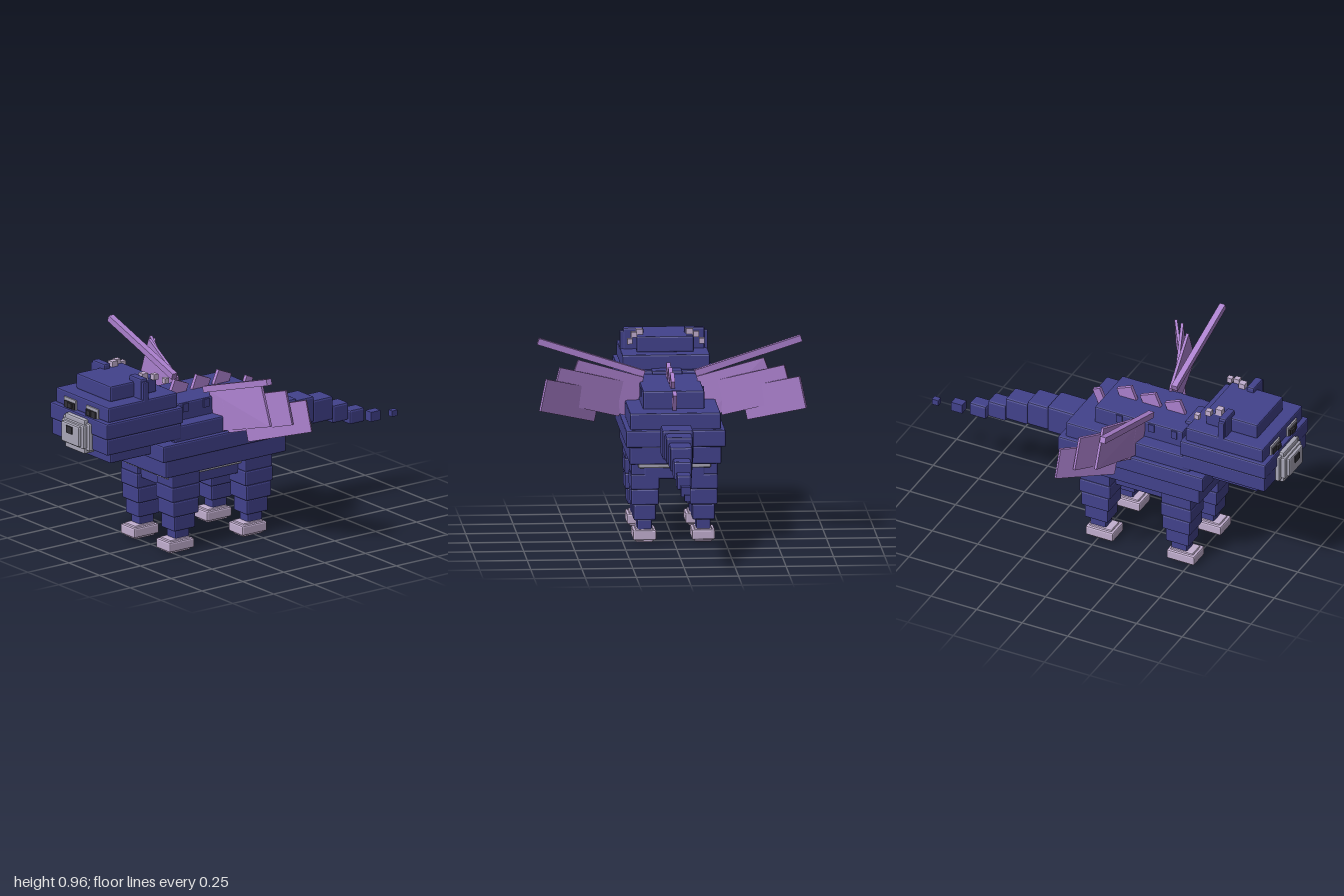
import * as THREE from 'three';
import { RoundedBoxGeometry } from 'three/addons/geometries/RoundedBoxGeometry.js';
import { ConvexGeometry } from 'three/addons/geometries/ConvexGeometry.js';

const makeMat = (name, color) => {
  const m = new THREE.MeshStandardMaterial({ color, flatShading: true });
  m.name = name;
  return m;
};

export function createModel() {
  const model = new THREE.Group();
  model.name = 'blockDragon';
  const blue = makeMat('indigo hide', 0x42428c);
  const purple = makeMat('purple membrane', 0xab80ce);
  const pale = makeMat('pale claw', 0xc2afd0);
  const grey = makeMat('grey muzzle', 0xa9a7b8);
  const dark = makeMat('dark eye', 0x323138);

  const group = (name) => {
    const g = new THREE.Group();
    g.name = name;
    model.add(g);
    return g;
  };

  // Box from its limits, with an optional small chamfer
  const block = (parent, name, mat, [x0, x1], [y0, y1], [z0, z1], chamfer = 0.008) => {
    const size = [x1 - x0, y1 - y0, z1 - z0];
    const geo = chamfer ? new RoundedBoxGeometry(...size, 1, chamfer) : new THREE.BoxGeometry(...size);
    const mesh = new THREE.Mesh(geo, mat);
    mesh.position.set((x0 + x1) / 2, (y0 + y1) / 2, (z0 + z1) / 2);
    mesh.name = name;
    parent.add(mesh);
    return mesh;
  };
  const centred = (parent, name, mat, half, y, z, c) => block(parent, name, mat, [-half, half], y, z, c);
  const side = (s, a, b) => (s > 0 ? [a, b] : [-b, -a]);

  // Thin plate spanning four corners
  const plate = (parent, name, mat, corners, thickness) => {
    const p = corners.map((c) => new THREE.Vector3(...c));
    const n = p[1].clone().sub(p[0]).cross(p[3].clone().sub(p[0])).setLength(thickness / 2);
    const pts = p.flatMap((v) => [v.clone().add(n), v.clone().sub(n)]);
    const mesh = new THREE.Mesh(new ConvexGeometry(pts), mat);
    mesh.name = name;
    parent.add(mesh);
  };

  // Body in stacked layers
  const body = group('body');
  centred(body, 'bellyBase', blue, 0.15, [0.32, 0.39], [-0.09, 0.5]);
  centred(body, 'bellyPlate', grey, 0.178, [0.378, 0.415], [-0.11, 0.53]);
  centred(body, 'lowerBody', blue, 0.225, [0.405, 0.497], [-0.16, 0.575]);
  centred(body, 'middleBody', blue, 0.244, [0.495, 0.58], [-0.193, 0.605]);
  centred(body, 'upperBody', blue, 0.222, [0.575, 0.66], [-0.16, 0.52]);
  centred(body, 'back', blue, 0.15, [0.65, 0.748], [-0.038, 0.445]);
  centred(body, 'neck', blue, 0.075, [0.66, 0.765], [0.42, 0.52]);
  for (const s of [1, -1]) for (const z of [0.4, 0.275, 0.1])
    block(body, 'shoulderStud', blue, side(s, 0.14, 0.157), [0.7, 0.742], [z - 0.016, z + 0.016], 0);

  // Spines leaning backwards along the back
  const spines = group('spines');
  for (const [z, y, w, h] of [[0.335, 0.755, 0.09, 0.1], [0.2, 0.755, 0.09, 0.1], [0.07, 0.755, 0.085, 0.1], [-0.085, 0.708, 0.042, 0.085]]) {
    const spine = centred(spines, 'backSpine', purple, 0.01, [y - h / 2, y + h / 2], [z - w / 2, z + w / 2], 0);
    spine.rotation.x = -0.4;
  }

  // Tapering tail: half width, y range, z range
  const tail = group('tail');
  for (const [h, y, z] of [
    [0.076, [0.46, 0.606], [-0.337, -0.187]],
    [0.066, [0.46, 0.592], [-0.452, -0.335]],
    [0.055, [0.445, 0.566], [-0.577, -0.452]],
    [0.044, [0.42, 0.512], [-0.68, -0.58]],
    [0.036, [0.39, 0.464], [-0.784, -0.692]],
    [0.023, [0.376, 0.425], [-0.89, -0.83]],
    [0.015, [0.374, 0.404], [-1, -0.965]],
  ]) centred(tail, 'tailSegment', blue, h, y, z, h > 0.03 ? 0.01 : 0);

  // Four stepped legs: y range, half width, half depth
  const steps = [
    [[0.34, 0.415], 0.068, 0.083],
    [[0.268, 0.345], 0.07, 0.085],
    [[0.19, 0.27], 0.068, 0.077],
    [[0.113, 0.192], 0.055, 0.065],
    [[0.06, 0.115], 0.036, 0.044],
  ];
  for (const s of [1, -1]) for (const z of [0.44, -0.005]) {
    const leg = group(z > 0.2 ? 'frontLeg' : 'hindLeg');
    const x = s * 0.144;
    for (const [y, w, d] of steps) block(leg, 'legSegment', blue, [x - w, x + w], y, [z - d, z + d]);
    const f = z + 0.018;
    block(leg, 'foot', pale, [x - 0.057, x + 0.057], [0.012, 0.062], [f - 0.076, f + 0.076]);
    block(leg, 'footCore', pale, [x - 0.044, x + 0.044], [0, 0.071], [f - 0.062, f + 0.062]);
  }

  // Head in stacked layers
  const head = group('head');
  centred(head, 'jaw', blue, 0.14, [0.515, 0.6], [0.52, 0.852]);
  centred(head, 'lowerHead', blue, 0.226, [0.592, 0.676], [0.48, 0.935]);
  centred(head, 'cheeks', blue, 0.233, [0.674, 0.757], [0.472, 0.942]);
  centred(head, 'brow', blue, 0.215, [0.755, 0.832], [0.495, 0.918]);
  centred(head, 'crown', blue, 0.14, [0.83, 0.91], [0.568, 0.85]);

  // Muzzle and nose
  centred(head, 'muzzleWide', grey, 0.108, [0.588, 0.728], [0.9, 0.955]);
  centred(head, 'muzzleTall', grey, 0.08, [0.57, 0.745], [0.9, 0.965]);
  centred(head, 'muzzleFront', grey, 0.088, [0.598, 0.72], [0.92, 0.978]);
  centred(head, 'muzzleTip', grey, 0.072, [0.608, 0.712], [0.95, 0.994]);
  centred(head, 'nose', dark, 0.023, [0.664, 0.7], [0.992, 1], 0);

  for (const s of [1, -1]) {
    // Eyes
    block(head, 'eyeSurround', grey, side(s, 0.042, 0.138), [0.75, 0.806], [0.917, 0.926], 0);
    block(head, 'eye', dark, side(s, 0.048, 0.126), [0.757, 0.79], [0.925, 0.933], 0);
    block(head, 'pupil', dark, side(s, 0.06, 0.092), [0.763, 0.788], [0.932, 0.941], 0);

    // Ears
    block(head, 'ear', blue, side(s, 0.1, 0.2), [0.82, 0.936], [0.668, 0.708]);
    block(head, 'earEdge', blue, side(s, 0.185, 0.215), [0.82, 0.92], [0.672, 0.704], 0.004);

    // Horns made of small cubes curving back
    for (const [x, y, z, r] of [[0.123, 0.92, 0.637, 0.017], [0.153, 0.917, 0.592, 0.014], [0.176, 0.893, 0.541, 0.013]])
      block(head, 'horn', pale, [s * x - r, s * x + r], [y - r, y + r], [z - r, z + r], 0);

    // Wings: an upper arm and three fanned membranes
    const wing = group(s > 0 ? 'leftWing' : 'rightWing');
    const flip = (pts) => pts.map(([x, y, z]) => [s * x, y, z]);
    plate(wing, 'wingArm', purple, flip([[0.13, 0.767, 0.26], [0.65, 0.935, 0.26], [0.64, 0.965, 0.26], [0.12, 0.797, 0.26]]), 0.03);
    plate(wing, 'frontMembrane', purple, flip([[0.175, 0.572, 0.225], [0.528, 0.672, 0.16], [0.455, 0.873, 0.163], [0.13, 0.77, 0.235]]), 0.014);
    plate(wing, 'middleMembrane', purple, flip([[0.255, 0.582, 0.21], [0.592, 0.682, 0.075], [0.55, 0.85, 0.085], [0.213, 0.75, 0.22]]), 0.014);
    plate(wing, 'rearMembrane', purple, flip([[0.378, 0.562, 0.185], [0.653, 0.648, 0.004], [0.62, 0.805, 0.014], [0.345, 0.719, 0.195]]), 0.014);
  }
  return model;
}
